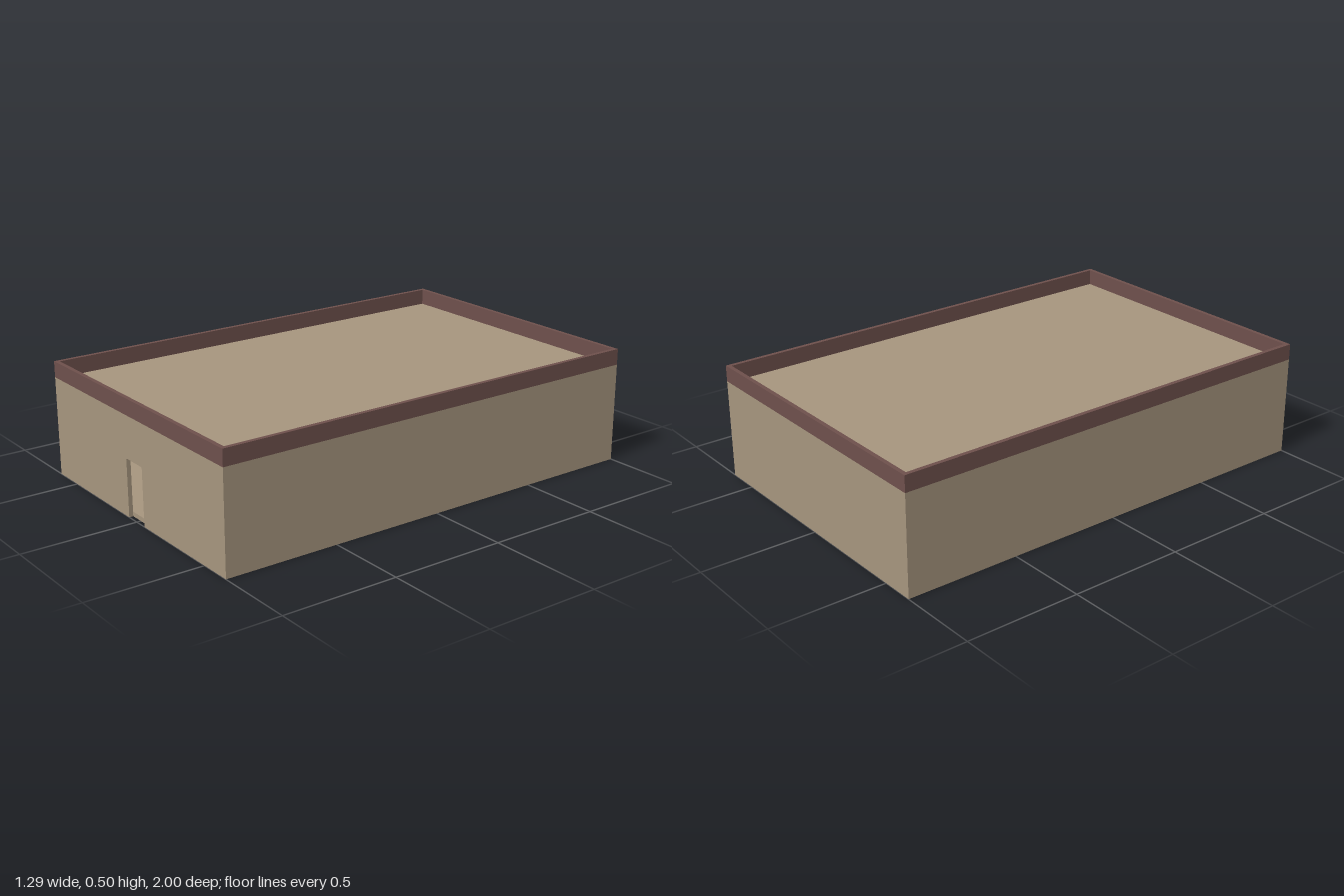
import * as THREE from 'three';

const W = 1.29, D = 2, T = 0.018;   // outer width, depth, wall thickness
const WALL = 0.433, TOP = 0.503;    // wall height, parapet top
const SLAB = 0.02;

const wallMat = new THREE.MeshStandardMaterial({ name: 'tan plaster', color: 0xa6957e });
const trimMat = new THREE.MeshStandardMaterial({ name: 'maroon trim', color: 0x6e504c });

function add(group, name, geometry, material, x = 0, y = 0, z = 0) {
  const mesh = new THREE.Mesh(geometry, material);
  mesh.name = name;
  mesh.position.set(x, y, z);
  group.add(mesh);
  return mesh;
}

// Front wall outline with the doorway cut up from the ground
function frontWallGeometry() {
  const h = W / 2, d = 0.06, top = 0.25, r = 0.008;
  const s = new THREE.Shape();
  s.moveTo(-h, 0);
  s.lineTo(-d, 0);
  s.lineTo(-d, top - r);
  s.quadraticCurveTo(-d, top, -d + r, top);
  s.lineTo(d - r, top);
  s.quadraticCurveTo(d, top, d, top - r);
  s.lineTo(d, 0);
  s.lineTo(h, 0);
  s.lineTo(h, WALL);
  s.lineTo(-h, WALL);
  s.closePath();
  return new THREE.ExtrudeGeometry(s, { depth: T, bevelEnabled: false, curveSegments: 4 });
}

// Rectangular ring for the parapet
function parapetGeometry() {
  const rect = (P, a, b) => {
    const p = new P();
    p.moveTo(-a, -b);
    p.lineTo(a, -b);
    p.lineTo(a, b);
    p.lineTo(-a, b);
    p.closePath();
    return p;
  };
  const ring = rect(THREE.Shape, W / 2, D / 2);
  ring.holes.push(rect(THREE.Path, W / 2 - T, D / 2 - T));
  const g = new THREE.ExtrudeGeometry(ring, { depth: TOP - WALL, bevelEnabled: false });
  return g.rotateX(-Math.PI / 2);
}

export function createModel() {
  const model = new THREE.Group();
  model.name = 'flatRoofBuilding';

  // Walls
  add(model, 'frontWall', frontWallGeometry(), wallMat, 0, 0, D / 2 - T);
  add(model, 'backWall', new THREE.BoxGeometry(W, WALL, T), wallMat, 0, WALL / 2, -D / 2 + T / 2);
  for (const [name, side] of [['leftWall', 1], ['rightWall', -1]]) {
    add(model, name, new THREE.BoxGeometry(T, WALL, D - 2 * T), wallMat, side * (W - T) / 2, WALL / 2, 0);
  }

  // Floor and roof slabs between the walls
  const slab = new THREE.BoxGeometry(W - 2 * T, SLAB, D - 2 * T);
  add(model, 'floor', slab, wallMat, 0, SLAB / 2, 0);
  add(model, 'roof', slab, wallMat, 0, WALL - SLAB / 2, 0);

  // Parapet around the roof edge
  add(model, 'parapet', parapetGeometry(), trimMat, 0, WALL, 0);

  return model;
}
